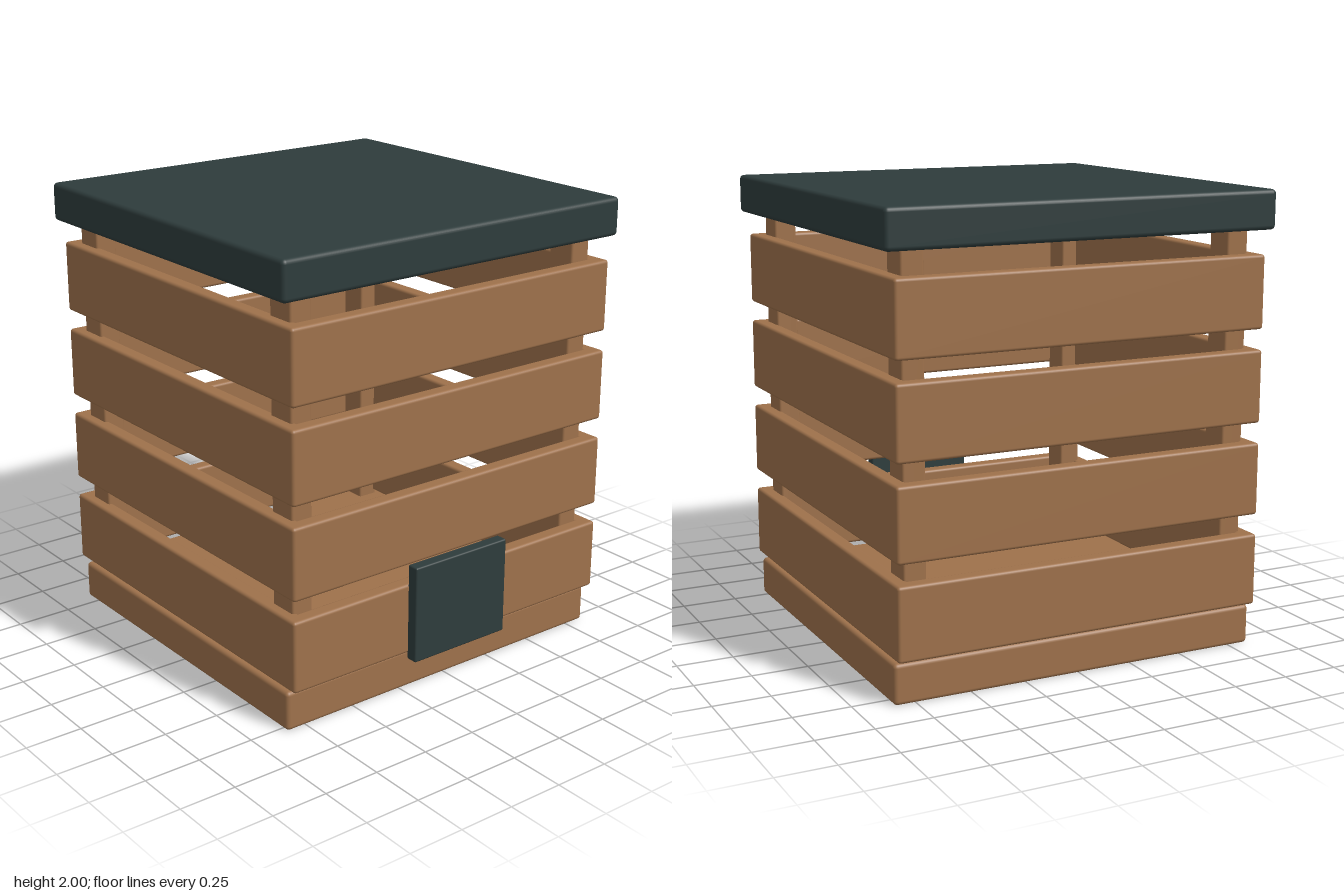
import * as THREE from 'three';
import { RoundedBoxGeometry } from 'three/addons/geometries/RoundedBoxGeometry.js';

export function createModel() {
  const model = new THREE.Group();
  model.name = 'slattedBin';

  const wood = new THREE.MeshStandardMaterial({ color: 0x9e714b });
  wood.name = 'wood';
  const slate = new THREE.MeshStandardMaterial({ color: 0x2e3c3c });
  slate.name = 'dark slate';

  // Softened box given by its extents on each axis
  function block(name, material, [x0, x1], [y0, y1], [z0, z1], radius, parent = model) {
    const geometry = new RoundedBoxGeometry(x1 - x0, y1 - y0, z1 - z0, 3, radius);
    const mesh = new THREE.Mesh(geometry, material);
    mesh.position.set((x0 + x1) / 2, (y0 + y1) / 2, (z0 + z1) / 2);
    mesh.name = name;
    parent.add(mesh);
  }

  // Solid floor and lid
  block('base', wood, [-0.845, 0.845], [0, 0.175], [-0.83, 0.79], 0.018);
  block('lid', slate, [-0.888, 0.885], [1.83, 2], [-0.885, 0.848], 0.02);

  // Corner posts
  const posts = new THREE.Group();
  posts.name = 'cornerPosts';
  model.add(posts);
  for (const x of [[-0.8, -0.7], [0.69, 0.79]]) {
    for (const z of [[-0.805, -0.67], [0.635, 0.77]]) {
      block('cornerPost', wood, x, [0.15, 1.85], z, 0.01, posts);
    }
  }

  // Four rings of slats
  const side = 0.845, front = 0.84, back = -0.875, thick = 0.07;
  for (let i = 0; i < 4; i++) {
    const ring = new THREE.Group();
    ring.name = 'slatRing';
    model.add(ring);
    const y = [0.192 + i * 0.406, 0.51 + i * 0.406];
    block('frontSlat', wood, [-side, side], y, [front - thick, front], 0.014, ring);
    block('backSlat', wood, [-side, side], y, [back, back + thick], 0.014, ring);
    block('leftSlat', wood, [side - thick, side], y, [back, front], 0.014, ring);
    block('rightSlat', wood, [-side, -side + thick], y, [back, front], 0.014, ring);
  }

  // Hatch plate on the front
  block('hatch', slate, [-0.253, 0.25], [0.165, 0.6], [0.835, 0.89], 0.008);

  return model;
}
